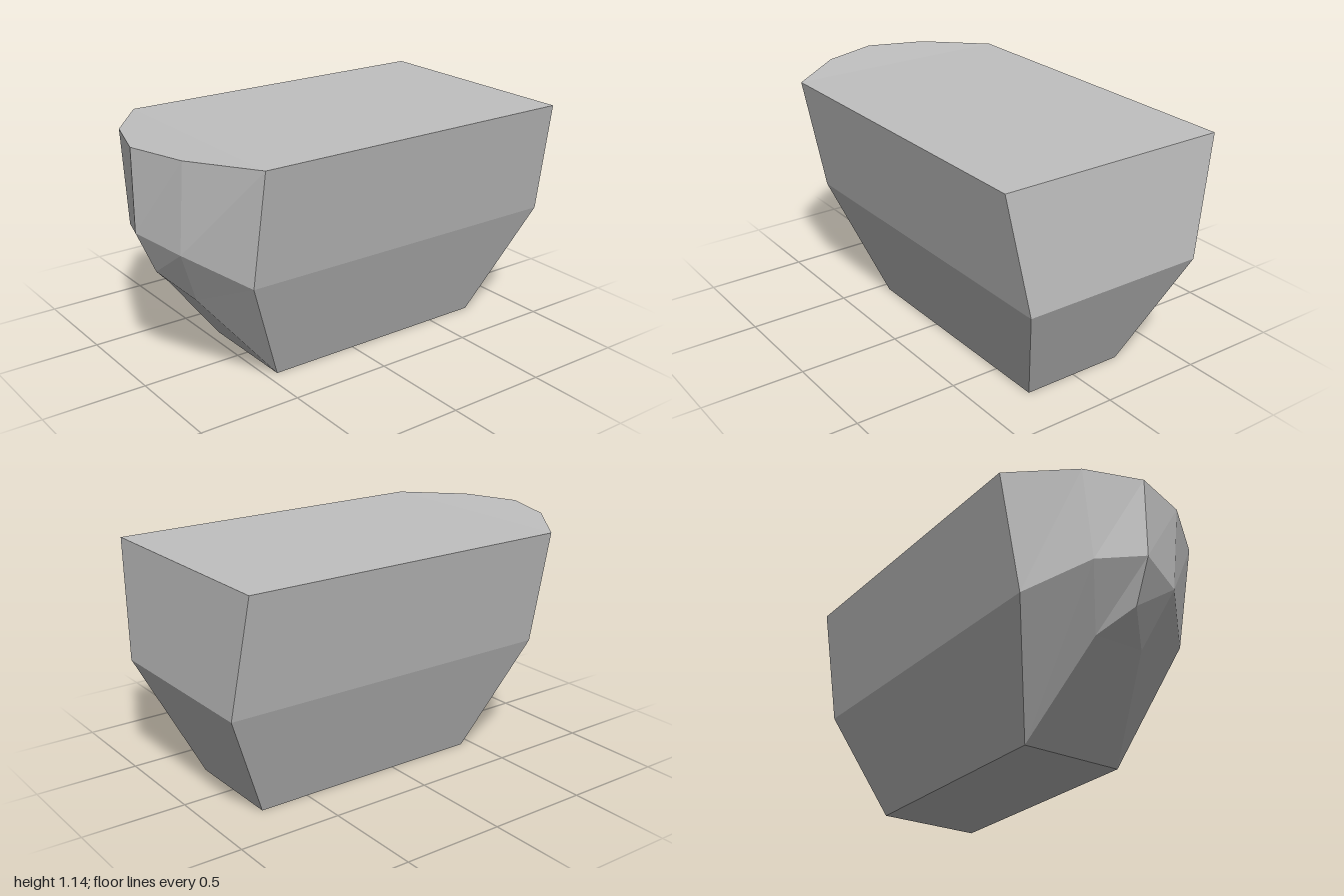
import * as THREE from 'three';

export function createModel() {
  const group = new THREE.Group();
  group.name = 'hull';
  const grey = new THREE.MeshStandardMaterial({ color: 0xc0c0c0 });
  grey.name = 'plain grey';

  // Corners of the left half
  const topB = [0.565, 1.13, -0.96], topF = [0.565, 1.13, 0.69];
  const midB = [0.457, 0.567, -1], midF = [0.457, 0.567, 0.69];
  const keelB = [0.257, 0, -0.745], keelF = [0.257, 0, 0.445];
  const topShoulder = [0.28, 1.14, 0.91], midShoulder = [0.23, 0.702, 0.91];
  const topProw = [0, 1.143, 1], midProw = [0, 0.753, 1];
  const noseTip = [0, 0.547, 0.91], chin = [0.129, 0.42, 0.785];
  const centre = (p) => [0, p[1], p[2]];

  // Flat faces given anticlockwise for the left half, mirrored to the right
  function addPart(name, faces) {
    const pos = [];
    const fan = (f) => {
      for (let i = 1; i < f.length - 1; i++) pos.push(...f[0], ...f[i], ...f[i + 1]);
    };
    for (const f of faces) {
      fan(f);
      fan(f.map(([x, y, z]) => [-x, y, z]).reverse());
    }
    const geo = new THREE.BufferGeometry();
    geo.setAttribute('position', new THREE.Float32BufferAttribute(pos, 3));
    geo.computeVertexNormals();
    const mesh = new THREE.Mesh(geo, grey);
    mesh.name = name;
    group.add(mesh);
  }

  addPart('sides', [
    [midF, midB, topB, topF],
    [keelF, keelB, midB, midF],
  ]);
  addPart('upperBow', [
    [midShoulder, midF, topF, topShoulder],
    [midProw, midShoulder, topShoulder, topProw],
  ]);
  addPart('lowerBow', [
    [chin, keelF, midF, midShoulder],
    [noseTip, chin, midShoulder, midProw],
    [centre(chin), chin, noseTip],
    [centre(keelF), keelF, chin, centre(chin)],
  ]);
  addPart('stern', [
    [topB, midB, centre(midB), centre(topB)],
    [midB, keelB, centre(keelB), centre(midB)],
  ]);
  addPart('deck', [
    [centre(topB), centre(topF), topF, topB],
    [centre(topF), topProw, topShoulder, topF],
  ]);
  addPart('bottom', [[centre(keelF), centre(keelB), keelB, keelF]]);

  return group;
}
